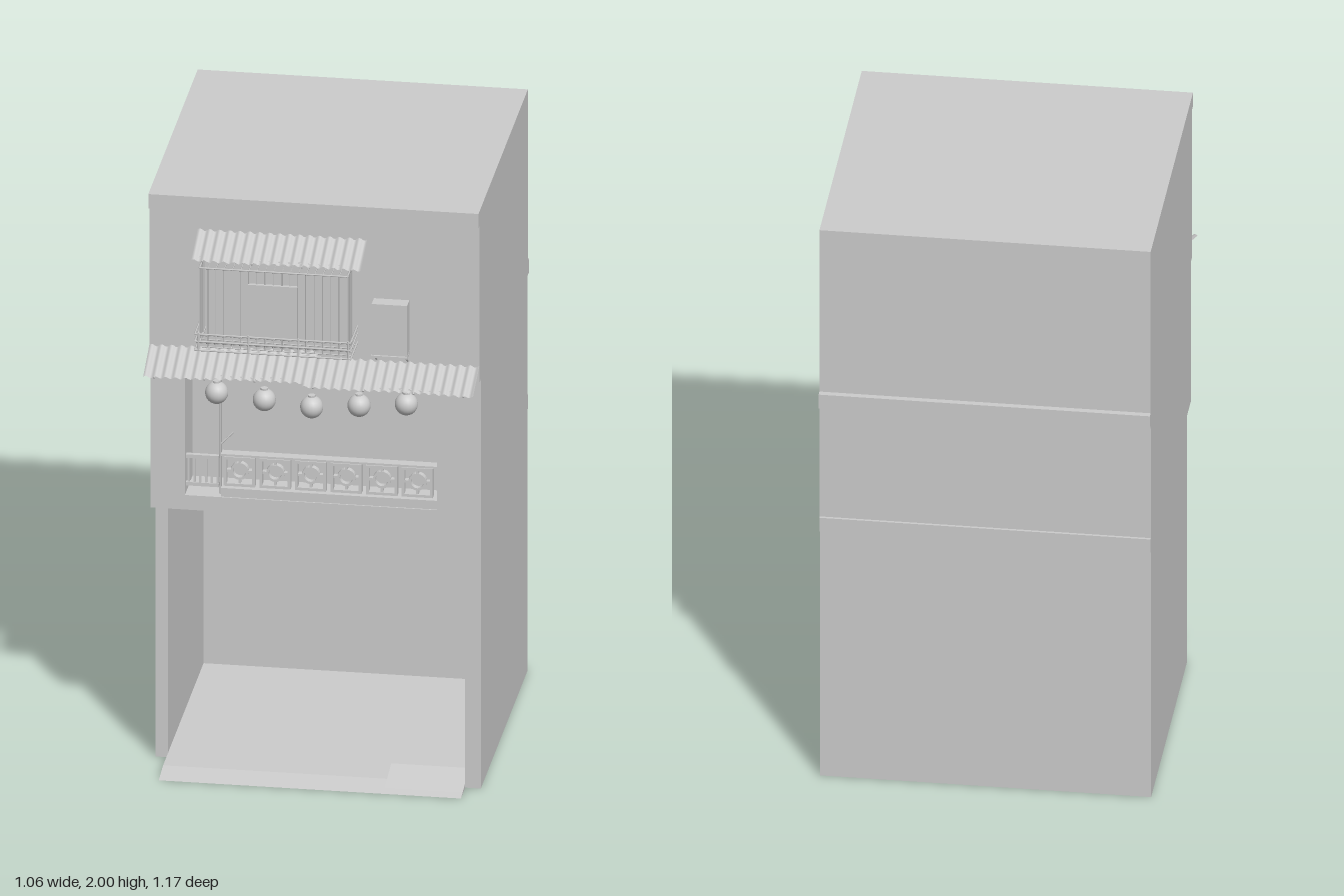
import * as THREE from 'three';

const grey = new THREE.MeshStandardMaterial({ color: 0xcccccc });
const thin = new THREE.MeshStandardMaterial({ color: 0xcccccc, side: THREE.DoubleSide });

// Adds a mesh with a name
function add(parent, name, geometry, material = grey) {
  const mesh = new THREE.Mesh(geometry, material);
  mesh.name = name;
  parent.add(mesh);
  return mesh;
}

// Box given by its limits on each axis
function box(parent, name, x0, x1, y0, y1, z0, z1) {
  const mesh = add(parent, name, new THREE.BoxGeometry(x1 - x0, y1 - y0, z1 - z0));
  mesh.position.set((x0 + x1) / 2, (y0 + y1) / 2, (z0 + z1) / 2);
  return mesh;
}

// Thin round bar between two points
function bar(parent, name, a, b, r = 0.002) {
  const p = new THREE.Vector3(...a), q = new THREE.Vector3(...b);
  const d = q.clone().sub(p);
  const mesh = add(parent, name, new THREE.CylinderGeometry(r, r, d.length(), 6));
  mesh.position.copy(p).add(q).multiplyScalar(0.5);
  mesh.quaternion.setFromUnitVectors(new THREE.Vector3(0, 1, 0), d.normalize());
  return mesh;
}

// Group under a parent
function group(parent, name) {
  const g = new THREE.Group();
  g.name = name;
  parent.add(g);
  return g;
}

// Corrugated sheet sloping down from (yBack, zBack) to (yFront, zFront)
function awning(parent, name, x0, x1, yBack, zBack, yFront, zFront, rise = 0) {
  const g = group(parent, name);
  const w = x1 - x0;
  const geo = new THREE.PlaneGeometry(w, 1, Math.round(w * 240), 1);
  const pos = geo.attributes.position;
  for (let i = 0; i < pos.count; i++) {
    const x = pos.getX(i) + w / 2, t = 0.5 - pos.getY(i);
    const wave = 0.004 * Math.sin((x / 0.032) * Math.PI * 2);
    const sag = t * 0.004 * Math.sin(x * 14);
    pos.setXYZ(i, x0 + x, yBack + (yFront - yBack) * t + wave + (rise * x) / w,
      zBack + (zFront - zBack) * t + wave * 0.4 + sag);
  }
  geo.computeVertexNormals();
  add(g, 'corrugatedSheet', geo, thin);
  // Support arms and a rail below the sheet
  for (let i = 0; i < 4; i++) {
    const k = 0.06 + (0.88 * i) / 3, x = x0 + w * k, dy = rise * k - 0.008;
    bar(g, 'supportArm', [x, yBack + dy, zBack], [x, yFront + dy, zFront - 0.01], 0.003);
  }
  const zr = zFront - 0.02, yr = yFront + 0.002;
  bar(g, 'supportRail', [x0 + 0.01, yr, zr], [x1 - 0.01, yr + rise, zr], 0.003);
  return g;
}

// Pierced square block with a ring and spokes
function piercedBlock(parent, cx, cy, size, z) {
  const g = group(parent, 'piercedBlock');
  const h = size / 2, k = h - 0.009;
  const shape = new THREE.Shape([[-h, -h], [h, -h], [h, h], [-h, h]].map(p => new THREE.Vector2(...p)));
  shape.holes.push(new THREE.Path([[-k, -k], [-k, k], [k, k], [k, -k]].map(p => new THREE.Vector2(...p))));
  add(g, 'blockFrame', new THREE.ExtrudeGeometry(shape, { depth: 0.025, bevelEnabled: false }));
  const disc = new THREE.Shape().absarc(0, 0, 0.029, 0, Math.PI * 2);
  disc.holes.push(new THREE.Path().absarc(0, 0, 0.021, 0, Math.PI * 2, true));
  add(g, 'blockRing', new THREE.ExtrudeGeometry(disc, { depth: 0.02, bevelEnabled: false, curveSegments: 10 }));
  for (let i = 0; i < 4; i++) {
    const a = (i * Math.PI) / 2;
    const spoke = add(g, 'blockSpoke', new THREE.BoxGeometry(0.02, 0.008, 0.018));
    spoke.position.set(Math.cos(a) * 0.037, Math.sin(a) * 0.037, 0.01);
    spoke.rotation.z = a;
  }
  g.position.set(cx, cy, z);
}

function groundStorey(root) {
  const g = group(root, 'groundStorey');
  box(g, 'rightSideWall', -0.53, -0.49, 0, 0.9, -0.556, 0.31);
  box(g, 'leftSideWall', 0.48, 0.53, 0, 0.9, -0.556, 0.41);
  box(g, 'backWall', -0.49, 0.48, 0, 0.9, -0.556, -0.43);
  box(g, 'ceiling', -0.53, 0.53, 0.9, 0.95, -0.57, 0.41);
  box(g, 'floor', -0.49, 0.48, 0.004, 0.014, -0.43, 0.41);
  // Wedges leading down to the street
  const wedge = (name, x0, x1, h, z0, z1) => {
    const s = new THREE.Shape([[0, 0], [z1 - z0, 0], [0, h]].map(p => new THREE.Vector2(...p)));
    const m = add(g, name, new THREE.ExtrudeGeometry(s, { depth: x1 - x0, bevelEnabled: false }));
    m.rotation.y = -Math.PI / 2;
    m.position.set(x1, 0, z0);
  };
  wedge('entranceApron', -0.49, 0.48, 0.014, 0.41, 0.5);
  wedge('entranceRamp', 0.23, 0.48, 0.034, 0.33, 0.49);
}

function middleStorey(root) {
  const g = group(root, 'middleStorey');
  const zb = 0.25;
  box(g, 'storeyBody', -0.53, 0.53, 0.95, 1.41, -0.561, zb);
  box(g, 'rightPier', -0.53, -0.42, 0.95, 1.41, zb, 0.41);
  box(g, 'leftPier', 0.39, 0.53, 0.95, 1.41, zb, 0.41);
  box(g, 'lintel', -0.42, 0.39, 1.36, 1.41, zb, 0.41);
  box(g, 'backLedge', -0.53, 0.53, 1.36, 1.41, -0.587, -0.561);
  // Balcony parapet of pierced blocks
  const p = group(g, 'balconyParapet');
  box(p, 'parapetSill', -0.305, 0.39, 0.95, 0.98, 0.37, 0.405);
  box(p, 'parapetCap', -0.305, 0.39, 1.09, 1.097, 0.37, 0.405);
  for (let i = 0; i < 6; i++) piercedBlock(p, -0.247 + i * 0.1142, 1.036, 0.1, 0.375);
  // Barred gate
  const gate = group(g, 'balconyGate');
  for (const y of [0.975, 1.07]) box(gate, 'gateRail', -0.42, -0.315, y, y + 0.012, 0.375, 0.39);
  for (let i = 0; i < 6; i++) {
    const x = -0.415 + i * 0.0185;
    box(gate, 'gateBar', x, x + 0.007, 0.98, 1.075, 0.378, 0.387);
  }
  bar(g, 'balconyPost', [-0.31, 0.95, 0.38], [-0.31, 1.36, 0.38], 0.004);
  bar(g, 'postBracket', [-0.31, 1.12, 0.38], [-0.27, 1.16, 0.37], 0.003);
  // Hanging lanterns on a sagging cord
  const l = group(g, 'lanterns');
  const spots = [-0.32, -0.167, -0.015, 0.137, 0.289].map((x, i) =>
    new THREE.Vector3(x, 1.275 + Math.abs(i - 2) * 0.015, 0.397));
  for (const s of spots) {
    const ball = add(l, 'lantern', new THREE.SphereGeometry(0.037, 20, 14));
    ball.position.copy(s);
    const cap = add(l, 'lanternCap', new THREE.CylinderGeometry(0.012, 0.012, 0.008, 10));
    cap.position.copy(s).y += 0.037;
  }
}

function upperStorey(root) {
  const g = group(root, 'upperStorey');
  box(g, 'storeyBody', -0.53, 0.53, 1.41, 1.95, -0.567, 0.437);
  box(g, 'roofBand', -0.53, 0.53, 1.95, 2, -0.567, 0.458);
  // Window cage
  const c = group(g, 'windowCage');
  const x0 = -0.35, x1 = 0.125, zw = 0.437, zf = 0.56;
  for (let i = 0; i <= 18; i++) {
    const x = x0 + ((x1 - x0) * i) / 18;
    bar(c, 'cageBar', [x, 1.53, zf], [x, 1.8, zf]);
    bar(c, 'cageTopBar', [x, 1.8, zw], [x, 1.8, zf], 0.0015);
  }
  for (const x of [x0, x1]) for (let i = 1; i <= 4; i++) {
    const z = zf - i * 0.026;
    bar(c, 'cageSideBar', [x, 1.53, z], [x, 1.8, z]);
  }
  for (const y of [1.545, 1.8]) {
    bar(c, 'cageFrontRail', [x0, y, zf], [x1, y, zf], 0.003);
    for (const x of [x0, x1]) bar(c, 'cageSideRail', [x, y, zw], [x, y, zf], 0.003);
  }
  // Shelf rails round the foot of the cage
  for (const y of [1.525, 1.555, 1.58]) {
    bar(c, 'shelfFrontRail', [-0.362, y, 0.58], [0.138, y, 0.58], 0.003);
    for (const x of [-0.362, 0.138]) bar(c, 'shelfSideRail', [x, y, zw], [x, y, 0.58], 0.003);
  }
  for (const x of [-0.35, -0.19, -0.03, 0.13])
    bar(c, 'shelfPost', [x, 1.525, 0.58], [x, 1.585, 0.58], 0.003);
  for (const z of [0.46, 0.49, 0.52, 0.55])
    bar(c, 'shelfSlat', [-0.36, 1.525, z], [0.136, 1.525, z]);
  box(c, 'cagePanel', -0.193, -0.035, 1.575, 1.755, 0.555, 0.567);
  // Air unit on its bracket
  const a = group(g, 'airUnit');
  box(a, 'unitCase', 0.193, 0.307, 1.51, 1.685, 0.45, 0.498);
  box(a, 'unitTray', 0.19, 0.307, 1.5, 1.507, 0.437, 0.498);
  for (const x of [0.2, 0.3]) bar(a, 'unitBracket', [x, 1.47, zw], [x, 1.503, 0.49], 0.003);
}

export function createModel() {
  const root = new THREE.Group();
  root.name = 'shopHouse';
  groundStorey(root);
  middleStorey(root);
  upperStorey(root);
  awning(root, 'windowAwning', -0.375, 0.17, 1.88, 0.437, 1.828, 0.567);
  awning(root, 'rightStreetAwning', -0.53, 0.02, 1.472, 0.437, 1.416, 0.565, 0.012);
  awning(root, 'leftStreetAwning', -0.02, 0.53, 1.465, 0.437, 1.414, 0.565);
  return root;
}
